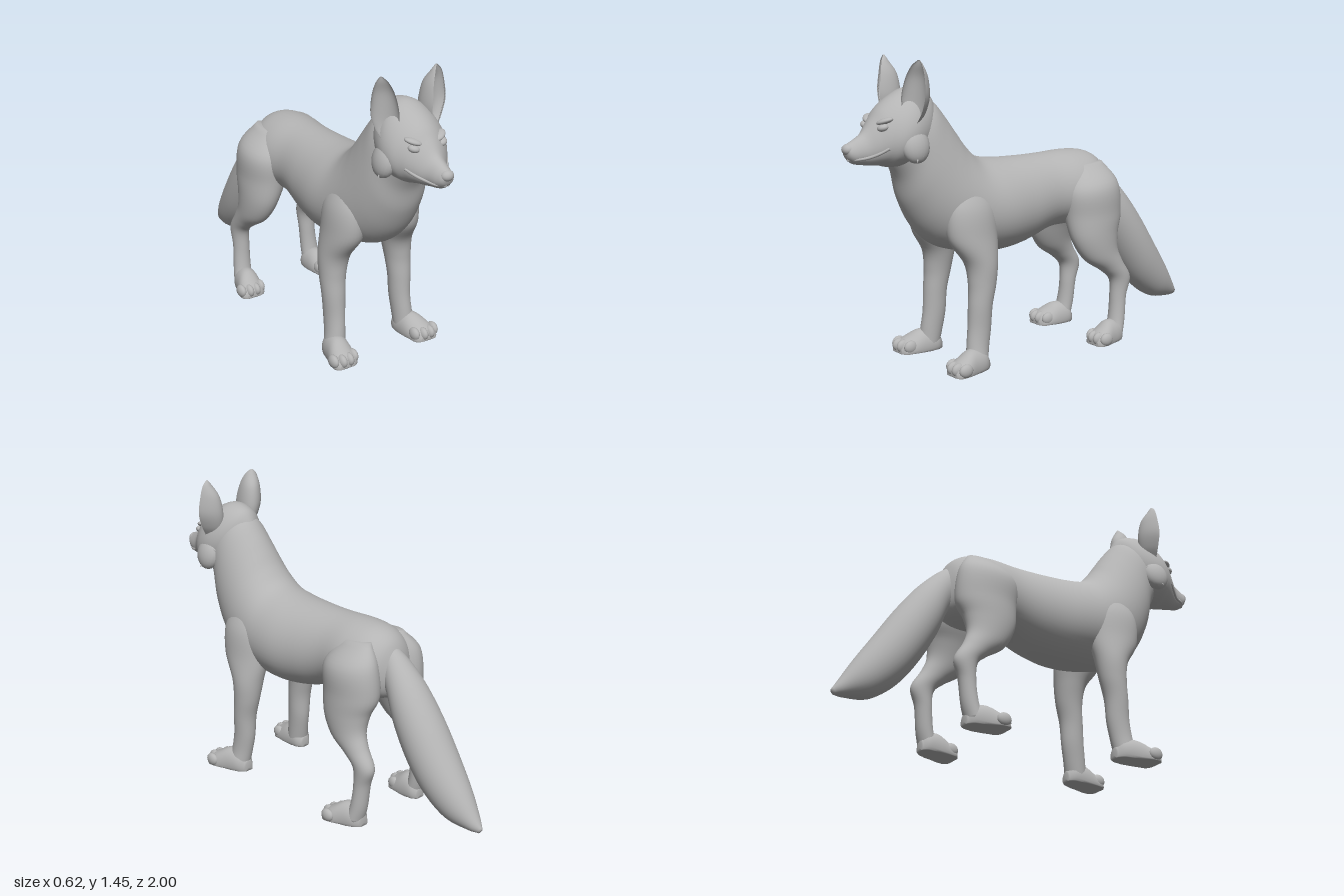
import * as THREE from 'three';

const fur = new THREE.MeshStandardMaterial({ color: 0xb4b4b4 });
fur.name = 'grey fur';

// Smooth loft. Section: [z1, y1, z2, y2, halfWidth, x] with two opposite rim points.
// egg widens the second side; cup folds the first side inward; y is kept above ground.
function loft(sections, { egg = 0, cup = 1, sides = 36, steps = 6 } = {}) {
  const curve = (f) => new THREE.CatmullRomCurve3(sections.map(f), false, 'catmullrom', 0.5);
  const first = curve((s) => new THREE.Vector3(s[5] || 0, s[1], s[0]));
  const second = curve((s) => new THREE.Vector3(s[5] || 0, s[3], s[2]));
  const width = curve((s) => new THREE.Vector3(s[4], 0, 0));
  const rows = (sections.length - 1) * steps;
  const pos = [], index = [];
  const push = (p) => pos.push(p.x, Math.max(0, p.y), p.z);
  const mids = [];
  for (let i = 0; i <= rows; i++) {
    const a = first.getPoint(i / rows), b = second.getPoint(i / rows);
    const w = width.getPoint(i / rows).x;
    const mid = a.clone().add(b).multiplyScalar(0.5), half = a.clone().sub(b).multiplyScalar(0.5);
    mids.push(mid);
    for (let j = 0; j < sides; j++) {
      const t = (j / sides) * Math.PI * 2, sn = Math.sin(t);
      const p = mid.clone().addScaledVector(half, sn > 0 ? sn * cup : sn);
      p.x += w * Math.cos(t) * (1 - egg * sn);
      push(p);
    }
  }
  for (let i = 0; i < rows; i++) {
    for (let j = 0; j < sides; j++) {
      const k = (j + 1) % sides, a = i * sides + j, b = i * sides + k;
      index.push(a, b, a + sides, b, b + sides, a + sides);
    }
  }
  // end caps
  const start = pos.length / 3;
  push(mids[0]);
  push(mids[rows]);
  for (let j = 0; j < sides; j++) {
    const k = (j + 1) % sides;
    index.push(start, k, j, start + 1, rows * sides + j, rows * sides + k);
  }
  const g = new THREE.BufferGeometry();
  g.setAttribute('position', new THREE.Float32BufferAttribute(pos, 3));
  g.setIndex(index);
  g.computeVertexNormals();
  return g;
}

export function createModel() {
  const model = new THREE.Group();
  model.name = 'fox';
  const add = (name, geometry) => {
    const m = new THREE.Mesh(geometry, fur);
    m.name = name;
    model.add(m);
    return m;
  };
  const ball = (name, p, r) => {
    const m = add(name, new THREE.SphereGeometry(1, 20, 14));
    m.position.set(...p);
    m.scale.set(...r);
    return m;
  };

  // trunk, chest and neck
  add('body', loft([
    [-0.47, 0.8, -0.46, 0.63, 0.06],
    [-0.43, 0.885, -0.42, 0.6, 0.13],
    [-0.36, 0.93, -0.34, 0.58, 0.18],
    [-0.25, 0.945, -0.22, 0.58, 0.19],
    [-0.1, 0.942, -0.1, 0.572, 0.175],
    [0.05, 0.942, 0.05, 0.525, 0.195],
    [0.2, 0.95, 0.2, 0.505, 0.215],
    [0.31, 0.975, 0.36, 0.52, 0.212],
    [0.38, 1.04, 0.52, 0.565, 0.2],
    [0.43, 1.11, 0.62, 0.65, 0.185],
    [0.48, 1.18, 0.69, 0.78, 0.168],
    [0.54, 1.25, 0.72, 0.9, 0.15],
    [0.6, 1.28, 0.76, 0.98, 0.13],
  ], { sides: 48, egg: 0.06 }));

  // tail, tip to root
  add('tail', loft([
    [-1.0, 0.118, -0.985, 0.095, 0.01],
    [-0.97, 0.165, -0.93, 0.095, 0.04],
    [-0.9, 0.28, -0.81, 0.115, 0.085],
    [-0.8, 0.43, -0.69, 0.2, 0.113],
    [-0.7, 0.58, -0.59, 0.325, 0.12],
    [-0.6, 0.71, -0.5, 0.48, 0.11],
    [-0.5, 0.81, -0.45, 0.6, 0.085],
    [-0.42, 0.87, -0.4, 0.66, 0.06],
  ]));

  // head with muzzle
  add('head', loft([
    [0.52, 1.22, 0.62, 1.0, 0.08],
    [0.57, 1.295, 0.66, 0.98, 0.13],
    [0.66, 1.318, 0.72, 0.965, 0.157],
    [0.74, 1.288, 0.78, 0.965, 0.152],
    [0.81, 1.24, 0.82, 0.975, 0.122],
    [0.855, 1.185, 0.86, 0.98, 0.09],
    [0.9, 1.13, 0.9, 0.985, 0.06],
    [0.95, 1.1, 0.95, 0.995, 0.045],
    [0.98, 1.085, 0.975, 1.015, 0.034],
    [0.992, 1.065, 0.985, 1.035, 0.012],
  ], { egg: 0.15, sides: 48 }));
  ball('nose', [0, 1.062, 0.972], [0.032, 0.026, 0.028]);

  for (const s of [1, -1]) {
    const side = s > 0 ? 'left' : 'right';
    const mirror = (sections) => sections.map((r) => [...r.slice(0, 5), s * r[5]]);

    // face details
    ball(side + 'Eye', [s * 0.076, 1.155, 0.836], [0.027, 0.017, 0.022]).rotation.set(0, s * 0.6, s * 0.25);
    ball(side + 'Brow', [s * 0.07, 1.183, 0.822], [0.042, 0.014, 0.026]).rotation.set(0, s * 0.6, s * 0.3);
    ball(side + 'Cheek', [s * 0.135, 1.07, 0.705], [0.046, 0.08, 0.07]).rotation.z = s * 0.25;
    for (const [y, z] of [[1.06, 0.68], [1.035, 0.71]]) {
      const tuft = add(side + 'CheekTuft', new THREE.ConeGeometry(0.03, 0.09, 16));
      tuft.position.set(s * 0.155, y, z);
      tuft.rotation.set(-0.4, 0, s * -2.5);
    }
    const lip = new THREE.CatmullRomCurve3([
      [0, 1.015, 0.974], [0.036, 1.018, 0.95], [0.058, 1.025, 0.9], [0.088, 1.043, 0.86], [0.113, 1.066, 0.825],
    ].map(([x, y, z]) => new THREE.Vector3(s * x, y, z)));
    add(side + 'Lip', new THREE.TubeGeometry(lip, 20, 0.007, 8));

    // cupped ear, tip to base, turned outward
    const ear = add(side + 'Ear', loft(mirror([
      [-0.018, 1.452, -0.032, 1.452, 0.005, 0.016],
      [0.02, 1.425, -0.05, 1.425, 0.03, 0.012],
      [0.07, 1.37, -0.085, 1.37, 0.051, 0.006],
      [0.1, 1.29, -0.1, 1.29, 0.062, 0],
      [0.085, 1.22, -0.095, 1.22, 0.05, -0.01],
      [0.06, 1.17, -0.08, 1.17, 0.035, -0.025],
    ]), { cup: -0.5 }));
    ear.position.set(s * 0.146, 0, 0.72);
    ear.rotation.y = s * 0.45;

    // front leg, shoulder to ankle
    add(side + 'FrontLeg', loft(mirror([
      [0.48, 0.88, 0.36, 0.88, 0.03, 0.135],
      [0.54, 0.76, 0.3, 0.76, 0.07, 0.155],
      [0.54, 0.62, 0.285, 0.62, 0.087, 0.155],
      [0.465, 0.5, 0.3, 0.5, 0.076, 0.177],
      [0.45, 0.4, 0.315, 0.4, 0.064, 0.187],
      [0.455, 0.3, 0.337, 0.3, 0.056, 0.19],
      [0.46, 0.2, 0.345, 0.19, 0.05, 0.19],
      [0.47, 0.12, 0.36, 0.1, 0.048, 0.195],
      [0.48, 0.04, 0.375, 0.02, 0.052, 0.205],
    ])));

    // hind leg, haunch to ankle
    add(side + 'HindLeg', loft(mirror([
      [-0.23, 0.88, -0.39, 0.89, 0.035, 0.11],
      [-0.155, 0.77, -0.45, 0.79, 0.1, 0.145],
      [-0.155, 0.64, -0.465, 0.64, 0.106, 0.149],
      [-0.175, 0.52, -0.435, 0.55, 0.087, 0.17],
      [-0.235, 0.42, -0.425, 0.47, 0.069, 0.185],
      [-0.33, 0.355, -0.45, 0.4, 0.054, 0.195],
      [-0.385, 0.3, -0.5, 0.31, 0.045, 0.2],
      [-0.39, 0.2, -0.475, 0.22, 0.042, 0.2],
      [-0.38, 0.11, -0.46, 0.1, 0.045, 0.205],
      [-0.36, 0.04, -0.44, 0.02, 0.05, 0.21],
    ])));

    // flat-soled paws with four toes each
    for (const [name, tip, len] of [['Front', 0.6, 1], ['Hind', -0.235, 0.9]]) {
      add(side + name + 'Paw', loft(mirror([
        [-0.235, 0.05, -0.02, 0.025, 0.2],
        [-0.2, 0.095, -0.04, 0.052, 0.205],
        [-0.13, 0.105, -0.06, 0.062, 0.215],
        [-0.07, 0.078, -0.05, 0.068, 0.228],
        [-0.03, 0.055, -0.04, 0.062, 0.232],
        [-0.012, 0.03, -0.02, 0.04, 0.235],
      ].map(([z, top, low, w, x]) => [tip + z * len, top, tip + z * len, low, w, x]))));
      for (const [dx, back] of [[-0.055, 0.055], [-0.019, 0.036], [0.019, 0.036], [0.053, 0.055]]) {
        ball(side + name + 'Toe', [s * (0.235 + dx), 0.032, tip - back], [0.021, 0.032, 0.036]);
      }
    }
  }
  return model;
}
